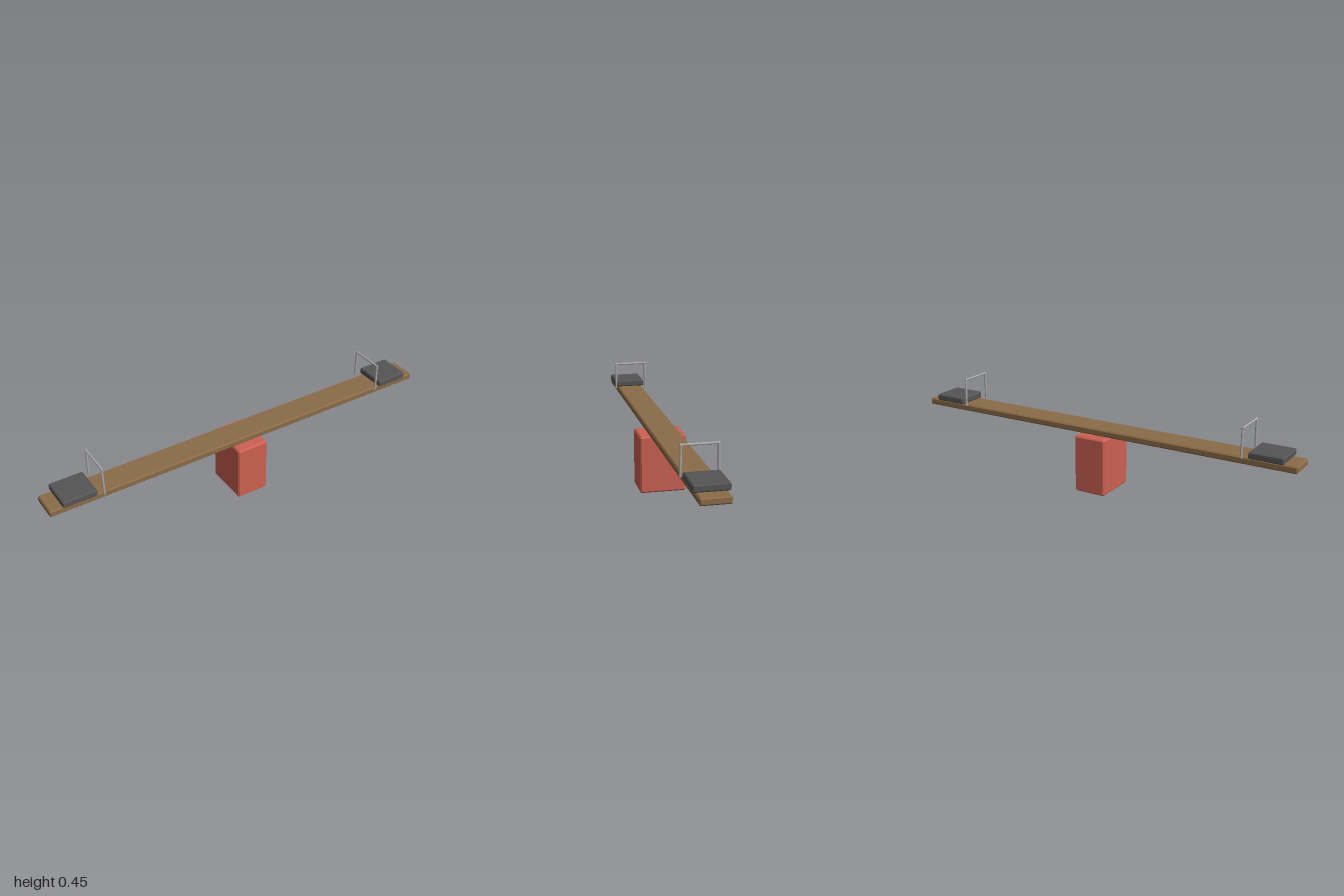
import * as THREE from 'three';
import { ConvexGeometry } from 'three/addons/geometries/ConvexGeometry.js';

const mat = (name, color) => {
  const m = new THREE.MeshStandardMaterial({ color });
  m.name = name;
  return m;
};

// Box with every edge cut by one flat chamfer of width c
function chamferBox(w, h, d, c) {
  const half = [w / 2, h / 2, d / 2];
  const points = [];
  for (const sx of [-1, 1]) for (const sy of [-1, 1]) for (const sz of [-1, 1]) {
    for (let axis = 0; axis < 3; axis++) {
      const p = half.map((v, i) => (i === axis ? v : v - c));
      points.push(new THREE.Vector3(p[0] * sx, p[1] * sy, p[2] * sz));
    }
  }
  return new ConvexGeometry(points);
}

// Round bar between two points
function bar(name, a, b, radius, material) {
  const dir = new THREE.Vector3().subVectors(b, a);
  const mesh = new THREE.Mesh(new THREE.CylinderGeometry(radius, radius, dir.length(), 8), material);
  mesh.position.copy(a).add(b).multiplyScalar(0.5);
  mesh.quaternion.setFromUnitVectors(new THREE.Vector3(0, 1, 0), dir.normalize());
  mesh.name = name;
  return mesh;
}

export function createModel() {
  const red = mat('red', 0xcc6152);
  const wood = mat('wood brown', 0x8b6b47);
  const dark = mat('dark grey', 0x555555);
  const metal = mat('metal grey', 0xaaaaaa);

  const model = new THREE.Group();
  model.name = 'seesaw';

  const block = (name, size, chamfer, x, y, material) => {
    const mesh = new THREE.Mesh(chamferBox(...size, chamfer), material);
    mesh.position.set(x, y, 0);
    mesh.name = name;
    model.add(mesh);
  };

  // Central support and plank
  block('pedestal', [0.16, 0.279, 0.222], 0.007, 0, 0.1395, red);
  block('plank', [2, 0.033, 0.132], 0.006, 0, 0.2965, wood);

  // A seat and a grab handle at each end
  for (const side of [-1, 1]) {
    block('seat', [0.162, 0.032, 0.156], 0.005, side * 0.86, 0.329, dark);

    const handle = new THREE.Group();
    handle.name = 'handle';
    handle.position.x = side * 0.75;
    const v = (y, z) => new THREE.Vector3(0, y, z);
    for (const s of [-1, 1]) {
      handle.add(bar('handleLeg', v(0.313, s * 0.0805), v(0.4475, s * 0.078), 0.0055, metal));
    }
    handle.add(bar('handleGrip', v(0.4475, -0.083), v(0.4475, 0.083), 0.0055, metal));
    model.add(handle);
  }
  return model;
}
